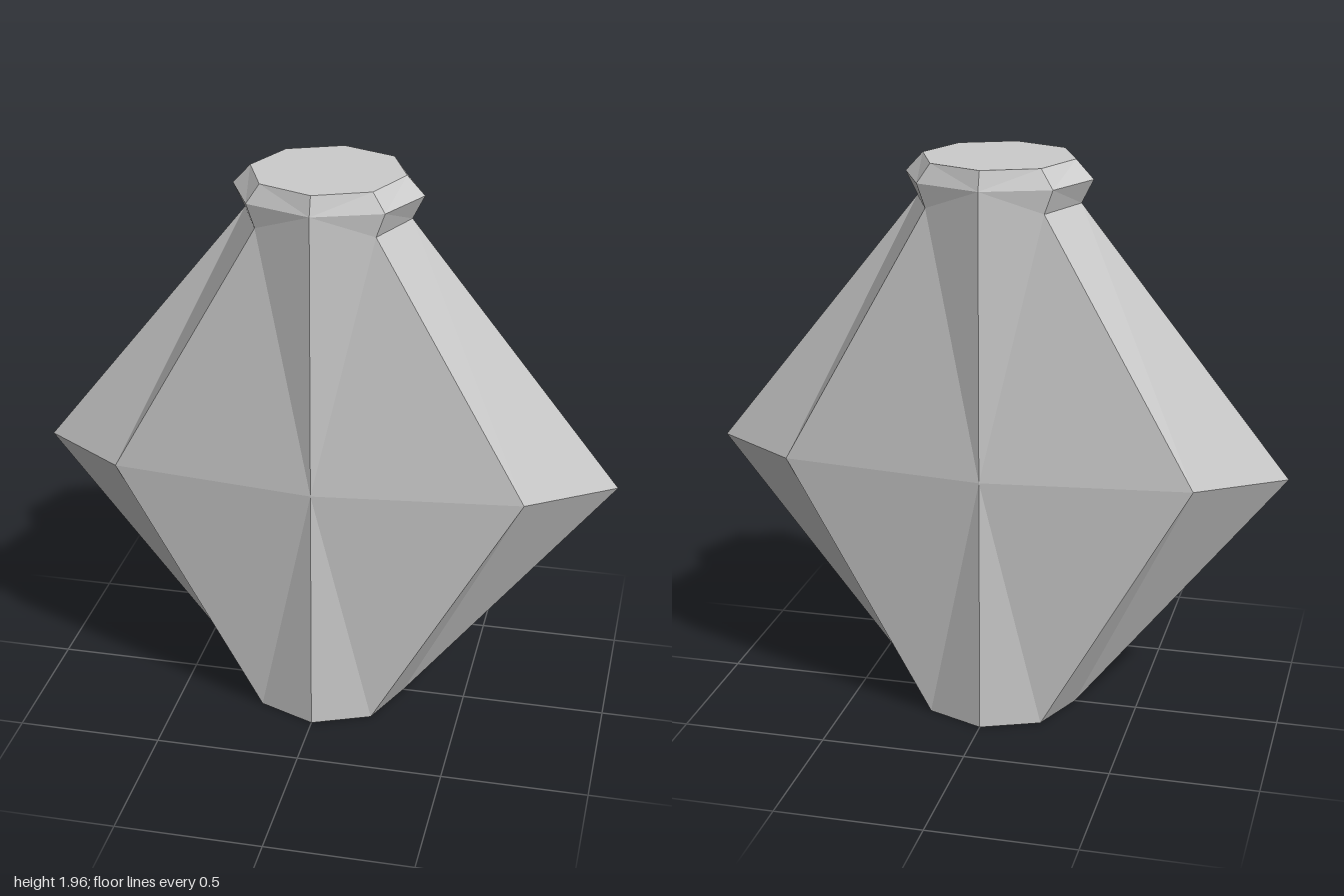
import * as THREE from 'three';

const SIDES = 8;
const material = new THREE.MeshStandardMaterial({ color: 0xcccccc, flatShading: true });

// Octagonal cross-section, running counter-clockwise seen from above
function ring([y, rx, rz]) {
  return Array.from({ length: SIDES }, (_, k) => {
    const a = (k / SIDES) * Math.PI * 2;
    return new THREE.Vector3(rx * Math.cos(a), y, -rz * Math.sin(a));
  });
}

function addMesh(group, name, points) {
  const geometry = new THREE.BufferGeometry().setFromPoints(points);
  geometry.computeVertexNormals();
  const mesh = new THREE.Mesh(geometry, material);
  mesh.name = name;
  group.add(mesh);
}

// Facets between two rings; each crease runs from the wider ring's
// vertex nearer the front/back ridge to the narrower ring's other vertex
function band(lowerSection, upperSection) {
  const lower = ring(lowerSection), upper = ring(upperSection);
  const lowerIsWide = lowerSection[1] > upperSection[1];
  const points = [];
  for (let k = 0; k < SIDES; k++) {
    const n = (k + 1) % SIDES;
    const startNearRidge = k % 4 >= 2;
    if (lowerIsWide === startNearRidge) {
      points.push(lower[k], lower[n], upper[n], lower[k], upper[n], upper[k]);
    } else {
      points.push(lower[k], lower[n], upper[k], lower[n], upper[n], upper[k]);
    }
  }
  return points;
}

// Flat octagonal lid facing up or down
function cap(section, up) {
  const r = ring(section), points = [];
  for (let k = 1; k < SIDES - 1; k++) {
    points.push(r[0], ...(up ? [r[k], r[k + 1]] : [r[k + 1], r[k]]));
  }
  return points;
}

export function createModel() {
  const group = new THREE.Group();
  group.name = 'facetedBottle';

  // Sections as [height, half width, half depth]
  const base = [0, 0.28, 0.28];
  const waist = [0.905, 1, 0.28];
  const neck = [1.81, 0.28, 0.28];
  const rim = [1.89, 0.32, 0.28];
  const top = [1.955, 0.26, 0.26];

  addMesh(group, 'base', cap(base, false));
  addMesh(group, 'lowerBody', band(base, waist));
  addMesh(group, 'upperBody', band(waist, neck));
  addMesh(group, 'neck', band(neck, rim));
  addMesh(group, 'rim', band(rim, top));
  addMesh(group, 'lid', cap(top, true));
  return group;
}
